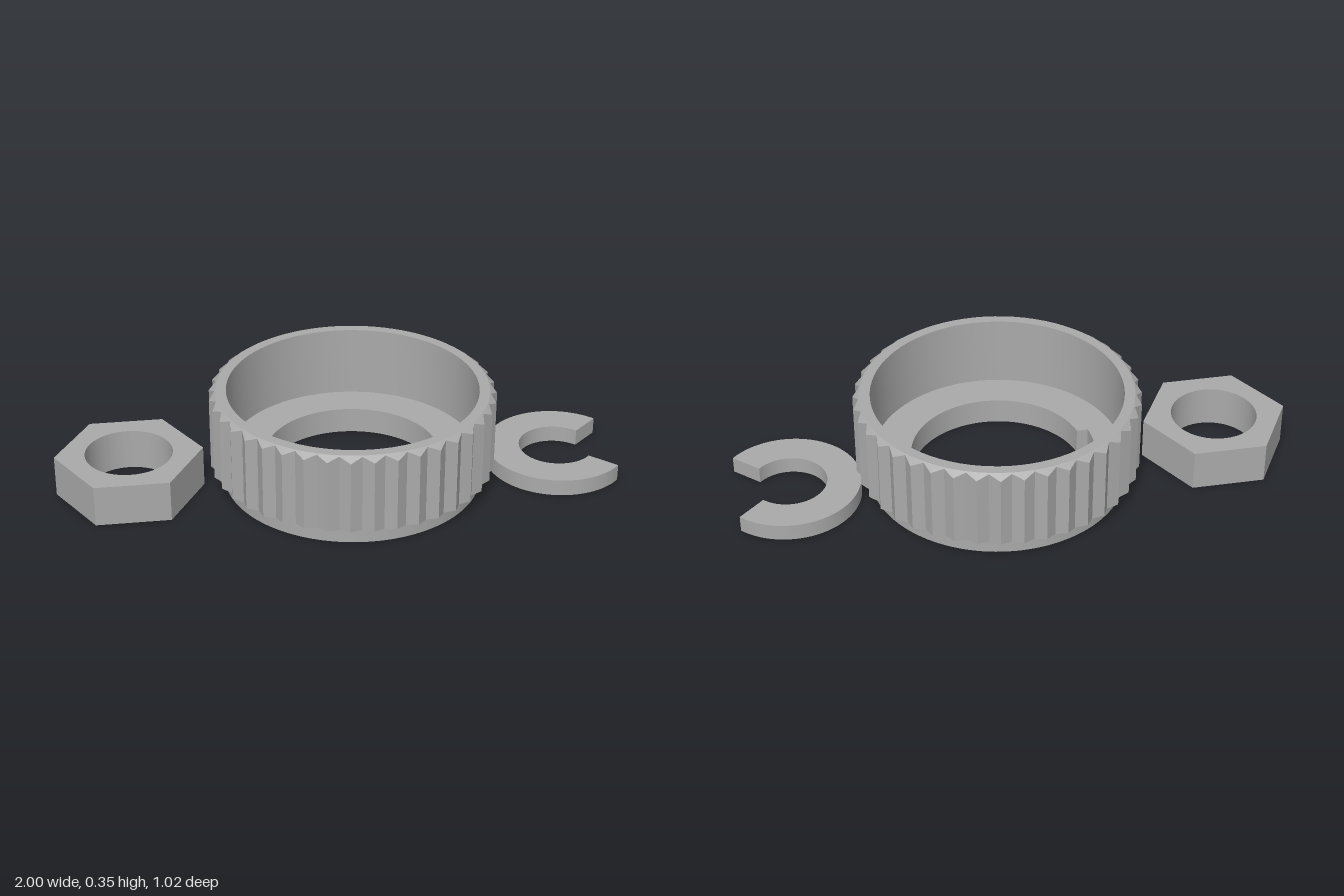
import * as THREE from 'three';
import { toCreasedNormals } from 'three/addons/utils/BufferGeometryUtils.js';

const TEETH = 40;

// Extrudes a plan shape upward from y = 0, smooth on curves and sharp at edges
function plate(shape, height) {
  const geo = new THREE.ExtrudeGeometry(shape, { depth: height, bevelEnabled: false, curveSegments: 64 });
  geo.rotateX(-Math.PI / 2);
  return toCreasedNormals(geo, 0.3);
}

function circlePath(r) {
  return new THREE.Path().absarc(0, 0, r, 0, Math.PI * 2, true);
}

// Each row is [ridge radius, ridge y, valley radius, valley y]; rows are joined by quads
function knurledWall(rows) {
  const n = TEETH * 2, pos = [];
  const point = (row, i) => {
    const a = (i / n) * Math.PI * 2;
    const [r, y] = i % 2 === 0 ? [row[0], row[1]] : [row[2], row[3]];
    return [r * Math.cos(a), y, r * Math.sin(a)];
  };
  for (let k = 0; k < rows.length - 1; k++) {
    for (let i = 0; i < n; i++) {
      const a = point(rows[k], i), b = point(rows[k + 1], i);
      const c = point(rows[k + 1], i + 1), d = point(rows[k], i + 1);
      pos.push(...a, ...b, ...c, ...a, ...c, ...d);
    }
  }
  const geo = new THREE.BufferGeometry();
  geo.setAttribute('position', new THREE.Float32BufferAttribute(pos, 3));
  return toCreasedNormals(geo, 0.15);
}

export function createModel() {
  const model = new THREE.Group();
  const metal = new THREE.MeshStandardMaterial({ color: 0xaaaaaa });
  metal.name = 'grey metal';

  const add = (parent, name, geo) => {
    const mesh = new THREE.Mesh(geo, metal);
    mesh.name = name;
    parent.add(mesh);
    return mesh;
  };

  // Knurled cap
  const cap = new THREE.Group();
  cap.name = 'knurledCap';
  cap.position.x = 0.06;
  model.add(cap);

  // Base plate with a round bore and two opposite keyways
  const base = new THREE.Shape().absarc(0, 0, 0.46, 0, Math.PI * 2, false);
  const bore = new THREE.Path();
  const half = 0.18;
  for (const mid of [0, Math.PI]) {
    bore.absarc(0, 0, 0.35, mid - half, mid + half, false);
    bore.absarc(0, 0, 0.31, mid + half + 0.02, mid + Math.PI - half - 0.02, false);
  }
  bore.closePath();
  base.holes.push(bore);
  add(cap, 'capBase', plate(base, 0.095));

  // Underside, teeth, chamfer, rim and inner wall
  add(cap, 'capGrip', knurledWall([
    [0.455, 0.064, 0.455, 0.064],
    [0.509, 0.070, 0.488, 0.066],
    [0.509, 0.336, 0.488, 0.352],
    [0.484, 0.355, 0.484, 0.355],
    [0.447, 0.355, 0.447, 0.355],
    [0.447, 0.094, 0.447, 0.094],
  ]));

  // Hex nut with corners on the x axis
  const hex = new THREE.Shape();
  for (let i = 0; i < 6; i++) {
    const a = (i * Math.PI) / 3;
    const x = 0.2625 * Math.cos(a), y = 0.2625 * Math.sin(a);
    if (i === 0) hex.moveTo(x, y);
    else hex.lineTo(x, y);
  }
  hex.closePath();
  hex.holes.push(circlePath(0.155));
  add(model, 'hexNut', plate(hex, 0.15)).position.x = -0.7375;

  // Open retaining clip, gap facing +x
  const gap = 0.75;
  const clip = new THREE.Shape();
  clip.absarc(0, 0, 0.255, gap, Math.PI * 2 - gap, false);
  clip.absarc(0, 0, 0.135, Math.PI * 2 - gap, gap, true);
  clip.closePath();
  add(model, 'retainingClip', plate(clip, 0.06)).position.x = 0.81;

  return model;
}
